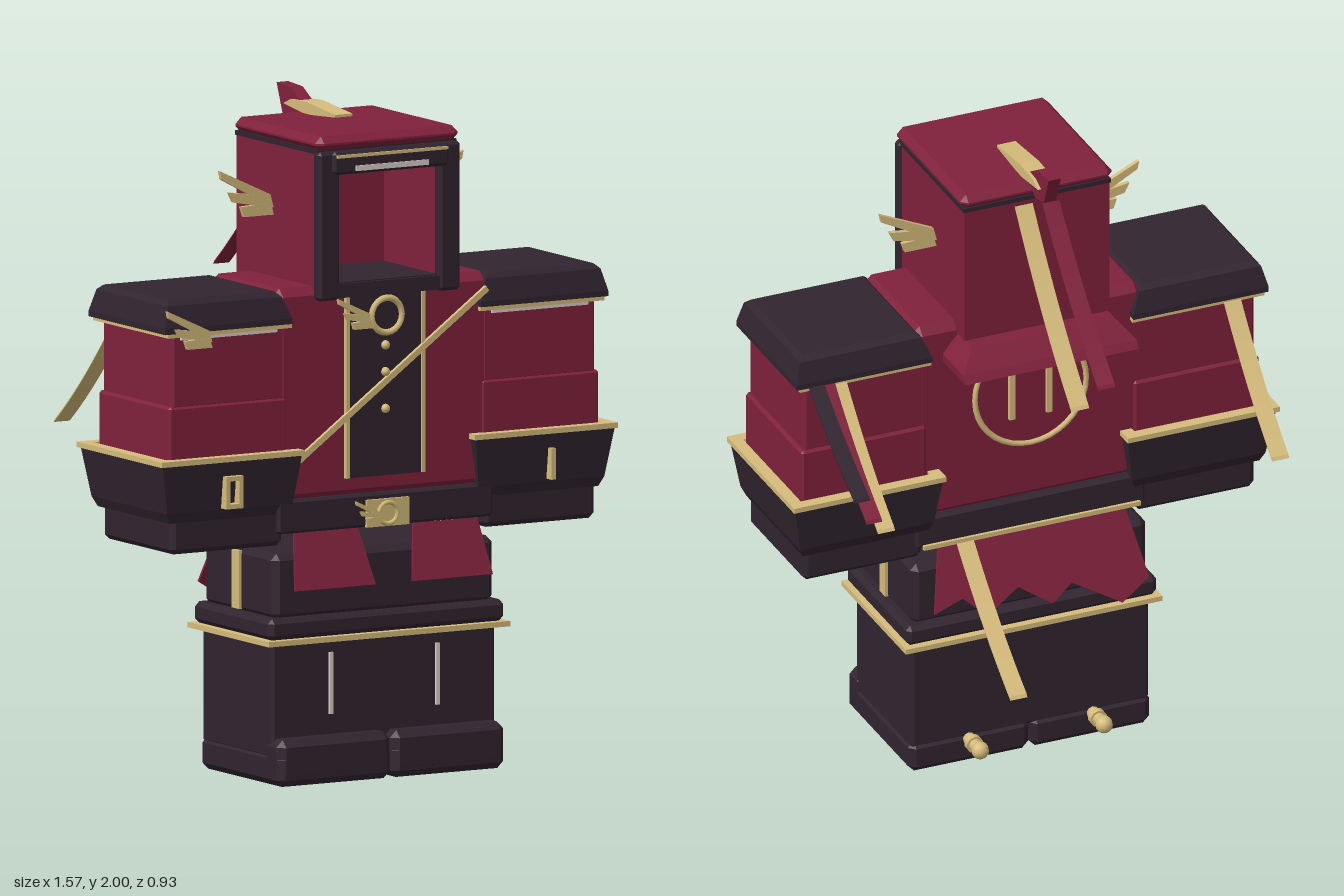
import * as THREE from 'three';
import { ConvexGeometry } from 'three/addons/geometries/ConvexGeometry.js';

const mat = (name, color) => {
  const m = new THREE.MeshStandardMaterial({ color });
  m.name = name;
  return m;
};

export function createModel() {
  const root = new THREE.Group();
  root.name = 'armouredFigure';
  const crimson = mat('crimson', 0x80213c);
  const dark = mat('darkPlum', 0x31242f);
  const gold = mat('paleGold', 0xd6bc7c);
  const light = mat('paleStrip', 0xdccdc9);

  const add = (name, geo, material, parent = root) => {
    const m = new THREE.Mesh(geo, material);
    m.name = name;
    parent.add(m);
    return m;
  };
  // Box given by its limits, with chamfered edges when bevel > 0
  const block = (x0, x1, y0, y1, z0, z1, b = 0) => {
    if (!b) {
      return new THREE.BoxGeometry(x1 - x0, y1 - y0, z1 - z0)
        .translate((x0 + x1) / 2, (y0 + y1) / 2, (z0 + z1) / 2);
    }
    const pts = [];
    for (const [x, sx] of [[x0, b], [x1, -b]])
      for (const [y, sy] of [[y0, b], [y1, -b]])
        for (const [z, sz] of [[z0, b], [z1, -b]])
          pts.push(new THREE.Vector3(x, y + sy, z + sz), new THREE.Vector3(x + sx, y, z + sz),
            new THREE.Vector3(x + sx, y + sy, z));
    return new ConvexGeometry(pts);
  };
  // Stacked rectangles [y, x0, x1, z0, z1] joined into one convex solid
  const stack = (rows) => new ConvexGeometry(rows.flatMap(([y, x0, x1, z0, z1]) =>
    [[x0, z0], [x1, z0], [x1, z1], [x0, z1]].map(([x, z]) => new THREE.Vector3(x, y, z))));
  const shapeOf = (pts) => new THREE.Shape(pts.map(([x, y]) => new THREE.Vector2(x, y)));
  const rect = (x0, x1, y0, y1) => [[x0, y0], [x1, y0], [x1, y1], [x0, y1]];
  const extrude = (shape, depth) =>
    new THREE.ExtrudeGeometry(shape, { depth, bevelEnabled: false, curveSegments: 12 });
  const frame = (outer, inner, depth) => {
    const s = shapeOf(outer);
    s.holes.push(shapeOf(inner));
    return extrude(s, depth);
  };
  // Outline in (z, y), extruded across x and centred on cx
  const sideExtrude = (pts, width, cx) =>
    extrude(shapeOf(pts), width).translate(0, 0, -width / 2).rotateY(-Math.PI / 2).translate(cx, 0, 0);

  // Three-feather wing ornament, side = +1 or -1
  const feathers = (name, x, y, z, side, k) => {
    const g = new THREE.Group();
    g.name = name;
    const quads = [
      [[0, 0.02], [0.01, 0.06], [0.18, 0.14], [0.175, 0.115]],
      [[0, 0.02], [0.01, 0.055], [0.15, 0.075], [0.135, 0.045]],
      [[0, 0], [0.01, 0.035], [0.11, 0.03], [0.1, 0]],
    ];
    quads.forEach((q, i) => add('feather',
      extrude(shapeOf(q.map(([a, b]) => [a * k * side, b * k])), 0.014)
        .translate(x, y, z + i * 0.001), gold, g));
    root.add(g);
  };
  // Thin curved streamer falling back from (z0, y0) to (z1, y1)
  const ribbon = (name, x, w, z0, y0, z1, y1, material) => {
    const up = [], down = [], n = 8, t = 0.005;
    for (let i = 0; i <= n; i++) {
      const u = i / n;
      const z = z0 + (z1 - z0) * u;
      const y = y0 + (y1 - y0) * (u + 0.22 * u * (1 - u));
      up.push([z + t * 0.6, y + t]);
      down.unshift([z - t * 0.6, y - t]);
    }
    add(name, sideExtrude([...up, ...down], w, x), material);
  };

  // Legs and waist bands
  add('thighs', block(-0.38, 0.38, 0.49, 0.69, -0.005, 0.405, 0.02), dark);
  add('kneeBand', block(-0.405, 0.405, 0.435, 0.5, -0.025, 0.425, 0.015), dark);
  add('kneeTrim', block(-0.415, 0.415, 0.42, 0.436, -0.035, 0.435), gold);
  add('shins', block(-0.385, 0.385, 0.08, 0.425, -0.005, 0.4, 0.01), dark);
  for (const s of [-1, 1]) {
    const [a, b] = s > 0 ? [0.001, 0.39] : [-0.39, -0.001];
    add('sole', block(a, b, 0, 0.1, -0.012, 0.455, 0.02), dark);
    add('toeCap', block(a, b, 0.01, 0.14, 0.36, 0.456, 0.022), dark);
    add('shinStrip', block(s * 0.183 - 0.006, s * 0.183 + 0.006, 0.2, 0.385, 0.4, 0.408), light);
    add('thighStripe', block(s * 0.384 - 0.005, s * 0.384 + 0.005, 0.505, 0.68, 0.175, 0.218), gold);
    const spur = new THREE.CylinderGeometry(0.02, 0.02, 0.08, 10).rotateX(Math.PI / 2);
    add('spurShaft', spur.translate(s * 0.2, 0.08, -0.05), gold);
    add('spurBall', new THREE.SphereGeometry(0.027, 10, 8).translate(s * 0.2, 0.08, -0.092), gold);
    add('spurCollar', new THREE.CylinderGeometry(0.027, 0.027, 0.02, 10).rotateX(Math.PI / 2)
      .translate(s * 0.2, 0.08, -0.045), gold);
  }

  // Torso, belt and collar
  add('torso', block(-0.37, 0.37, 0.84, 1.48, 0, 0.4, 0.025), crimson);
  add('belt', block(-0.37, 0.37, 0.75, 0.85, -0.012, 0.412, 0.008), dark);
  add('beltBackTrim', block(-0.35, 0.35, 0.748, 0.762, -0.022, -0.01), gold);
  add('backCollar', stack([[1.36, -0.28, 0.28, -0.165, 0.02], [1.385, -0.28, 0.28, -0.15, 0.02],
    [1.445, -0.23, 0.23, -0.1, 0.02]]), crimson);
  add('placket', block(-0.13, 0.13, 0.9, 1.45, 0.39, 0.408), dark);
  for (const s of [-1, 1])
    add('placketEdge', block(s * 0.13 - 0.006, s * 0.13 + 0.006, 0.9, 1.45, 0.39, 0.413), gold);
  for (const y of [1.29, 1.21, 1.1])
    add('button', new THREE.SphereGeometry(0.014, 10, 8).translate(0, y, 0.41), gold);
  const strap = add('chestStrap', new THREE.BoxGeometry(0.8, 0.018, 0.012), gold);
  strap.position.set(0.022, 1.2, 0.414);
  strap.rotation.z = Math.atan2(0.465, 0.645);
  add('broochRing', new THREE.TorusGeometry(0.052, 0.01, 6, 20).translate(0, 1.38, 0.418), gold);
  add('broochCore', new THREE.CylinderGeometry(0.046, 0.046, 0.012, 20).rotateX(Math.PI / 2)
    .translate(0, 1.38, 0.41), dark);
  feathers('broochFeathers', -0.045, 1.345, 0.408, -1, 0.68);
  add('buckle', block(-0.07, 0.075, 0.75, 0.832, 0.41, 0.422), gold);
  add('buckleRing', new THREE.TorusGeometry(0.032, 0.007, 6, 18).translate(0, 0.79, 0.426), gold);
  feathers('buckleFeathers', -0.025, 0.765, 0.42, -1, 0.48);

  // Ring ornament with two plain bars on the back
  add('backRing', new THREE.TorusGeometry(0.18, 0.009, 6, 36).translate(0, 1.21, -0.008), gold);
  for (const x of [-0.06, 0.06])
    add('backBar', block(x - 0.009, x + 0.009, 1.12, 1.3, -0.012, 0.002), gold);

  // Cloth panels below the belt
  const panel = (name, pts, z, tilt) => {
    const m = add(name, extrude(shapeOf(pts), 0.008).translate(0, 0, -0.004), crimson);
    m.position.set(0, 0.75, z);
    m.rotation.x = tilt;
  };
  for (const s of [-1, 1])
    panel('frontPanel', [[0.095, 0], [0.315, 0], [0.34, -0.173], [0.063, -0.173]]
      .map(([x, y]) => [x * s, y]), 0.408, -0.29);
  panel('backCape', [[-0.3, 0.01], [0.3, 0.01], [0.345, -0.2], [0.25, -0.17], [0.18, -0.235], [0.07, -0.17],
    [-0.03, -0.24], [-0.1, -0.19], [-0.25, -0.28], [-0.345, -0.22]], -0.012, 0.37);

  // Arms
  for (const s of [-1, 1]) {
    const arm = new THREE.Group();
    arm.name = s > 0 ? 'leftArm' : 'rightArm';
    arm.scale.x = s;
    root.add(arm);
    add('upperArm', block(0.34, 0.728, 1.15, 1.39, 0, 0.4, 0.008), crimson, arm);
    add('lowerArm', block(0.335, 0.74, 0.95, 1.158, -0.008, 0.405, 0.008), crimson, arm);
    add('pauldron', stack([[1.378, 0.325, 0.762, -0.025, 0.418], [1.395, 0.325, 0.762, -0.025, 0.418],
      [1.46, 0.352, 0.745, -0.008, 0.402], [1.475, 0.368, 0.73, 0.01, 0.385]]), dark, arm);
    add('pauldronTrim', block(0.325, 0.75, 1.366, 1.379, -0.02, 0.415), gold, arm);
    add('pauldronStrip', block(0.37, 0.7, 1.356, 1.366, 0.395, 0.408), light, arm);
    add('gauntlet', stack([[0.99, 0.298, 0.778, -0.045, 0.43], [0.84, 0.32, 0.752, -0.025, 0.412],
      [0.81, 0.332, 0.738, -0.012, 0.4]]), dark, arm);
    add('gauntletTrim', frame(rect(0.293, 0.785, -0.437, 0.056), rect(0.33, 0.748, -0.4, 0.02), 0.016)
      .rotateX(-Math.PI / 2).translate(0, 0.985, 0), gold, arm);
    add('hand', block(0.345, 0.73, 0.715, 0.83, 0, 0.4, 0.015), dark, arm);
  }
  // Plain metal inlays on the gauntlets
  add('rightInlay', frame(rect(-0.567, -0.508, 0.845, 0.942), rect(-0.553, -0.522, 0.859, 0.928), 0.03)
    .translate(0, 0, 0.413), gold);
  add('leftInlay', block(0.552, 0.567, 0.848, 0.942, 0.413, 0.443), gold);
  feathers('shoulderFeathers', -0.605, 1.33, 0.412, -1, 0.85);

  // Open-fronted helmet
  add('helmetShell', frame(rect(-0.235, 0.235, 1.445, 1.89), rect(-0.172, 0.172, 1.485, 1.825), 0.3)
    .translate(0, 0, 0.11), crimson);
  add('helmetBack', block(-0.235, 0.235, 1.445, 1.89, -0.055, 0.112), crimson);
  add('helmetFloor', block(-0.172, 0.172, 1.483, 1.49, 0.111, 0.42), dark);
  add('helmetGroove', block(-0.238, 0.238, 1.876, 1.89, -0.058, 0.42), dark);
  add('helmetCap', block(-0.245, 0.245, 1.884, 1.93, -0.065, 0.435, 0.02), crimson);
  for (const s of [-1, 1]) {
    const [a, b] = s > 0 ? [0.17, 0.245] : [-0.245, -0.17];
    add('facePillar', block(a, b, 1.44, 1.885, 0.4, 0.438, 0.01), dark);
    feathers('helmetWing', s * 0.235, 1.665, 0.145, s, 1.02);
  }
  add('faceSill', block(-0.18, 0.18, 1.445, 1.487, 0.4, 0.432), dark);
  add('faceLintel', block(-0.2, 0.2, 1.815, 1.885, 0.4, 0.448, 0.01), dark);
  add('faceLintelTrim', block(-0.19, 0.19, 1.866, 1.875, 0.44, 0.455), gold);
  add('faceStrip', block(-0.125, 0.125, 1.824, 1.84, 0.44, 0.453), light);

  // Crest
  add('crestFin', sideExtrude([[0.01, 1.93], [-0.07, 1.905], [-0.085, 1.895], [-0.15, 1.91], [-0.185, 2],
    [-0.1, 1.995], [-0.05, 1.965]], 0.04, 0), crimson);
  add('crestBar', sideExtrude([[0.17, 1.94], [0.17, 1.948], [0, 1.966], [-0.09, 1.962], [-0.13, 1.945],
    [0, 1.928]], 0.06, 0), gold);

  // Streamers
  ribbon('helmetRibbonGold', 0.043, 0.058, -0.055, 1.86, -0.465, 1.38, gold);
  ribbon('helmetRibbonCrimson', -0.045, 0.055, -0.055, 1.85, -0.46, 1.43, crimson);
  ribbon('rightShoulderRibbon', -0.647, 0.055, -0.015, 1.375, -0.37, 1.015, gold);
  ribbon('leftShoulderRibbonGold', 0.627, 0.055, -0.015, 1.375, -0.37, 1.05, gold);
  ribbon('leftShoulderRibbonCrimson', 0.663, 0.05, -0.015, 1.38, -0.363, 1.085, crimson);
  ribbon('leftShoulderRibbonDark', 0.698, 0.05, -0.015, 1.385, -0.355, 1.16, dark);
  ribbon('waistRibbon', 0.217, 0.055, -0.02, 0.75, -0.41, 0.42, gold);

  return root;
}
